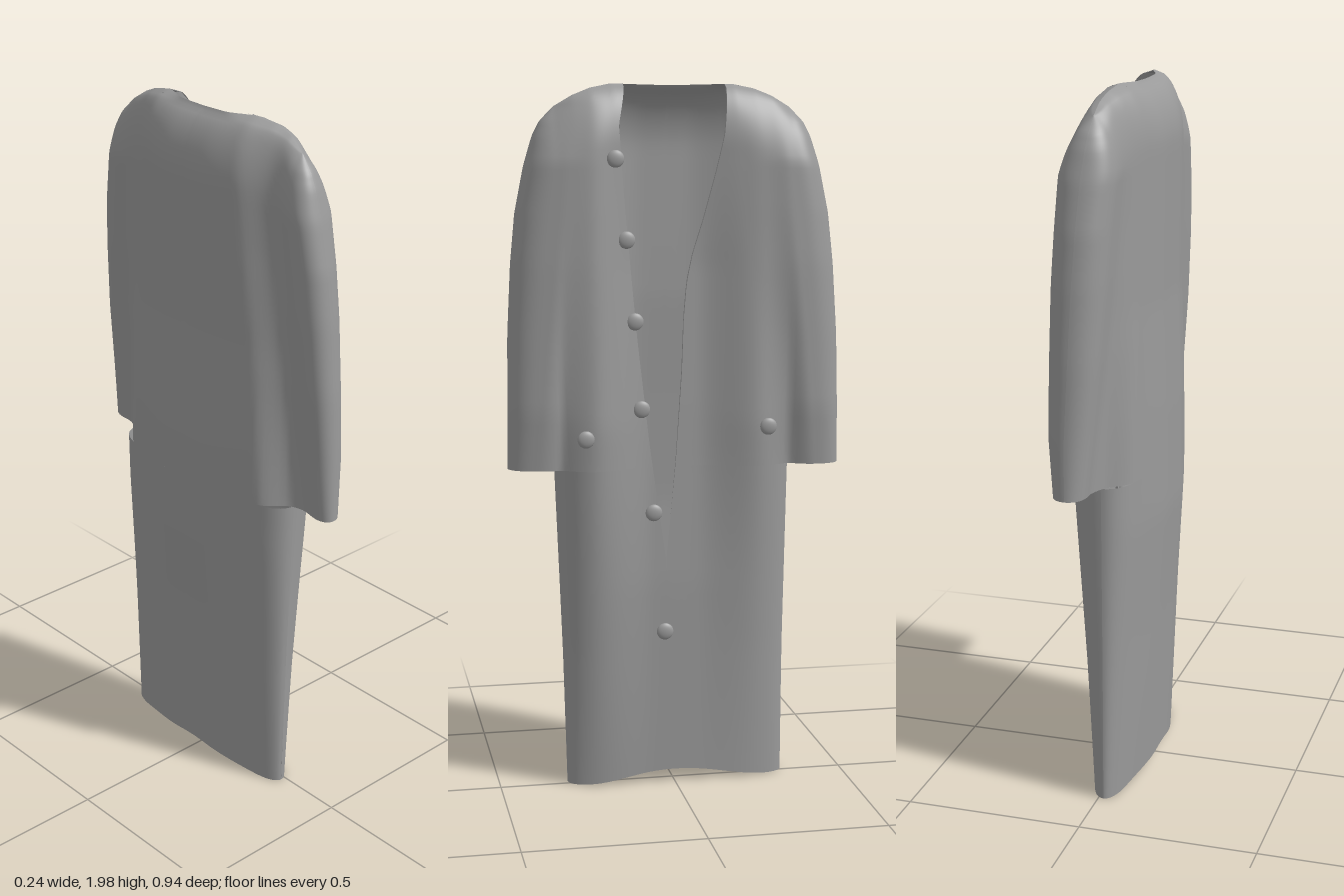
import * as THREE from 'three';

const { lerp, clamp, smoothstep } = THREE.MathUtils;
const material = new THREE.MeshStandardMaterial({ color: 0x9a9a9a, side: THREE.DoubleSide });

// Linear lookup in a short list of [key, value] pairs
function lookup(table, k) {
  if (k <= table[0][0]) return table[0][1];
  for (let i = 1; i < table.length; i++) {
    const [k0, v0] = table[i - 1], [k1, v1] = table[i];
    if (k <= k1) return lerp(v0, v1, (k - k0) / (k1 - k0));
  }
  return table[table.length - 1][1];
}

// Surface grid from a rule point(u, v) -> [x, y, z]
function sheet(name, point, nu, nv, flip) {
  const pos = [], index = [];
  for (let j = 0; j <= nv; j++)
    for (let i = 0; i <= nu; i++) pos.push(...point(i / nu, j / nv));
  for (let j = 0; j < nv; j++)
    for (let i = 0; i < nu; i++) {
      const a = j * (nu + 1) + i, b = a + 1, c = a + nu + 1, d = c + 1;
      if (flip) index.push(a, c, b, b, c, d);
      else index.push(a, b, c, b, d, c);
    }
  const g = new THREE.BufferGeometry();
  g.setAttribute('position', new THREE.Float32BufferAttribute(pos, 3));
  g.setIndex(index);
  g.computeVertexNormals();
  const m = new THREE.Mesh(g, material);
  m.name = name;
  return m;
}

// Outline of the coat, which opens towards +x
const CUFF = 0.935, SHOULDER = 1.93, BODY = 0.335;
const skirtWidth = [[0, 0.305], [0.4, 0.315], [CUFF, BODY]];
const sleeveOuter = [[CUFF, 0.468], [1.3, 0.463], [1.5, 0.452], [1.64, 0.438], [1.77, 0.412],
  [1.85, 0.388], [1.89, 0.368], [SHOULDER, 0.33]];
const sleeveInner = [[CUFF, 0.33], [1.3, 0.3], [1.65, 0.26], [1.93, 0.24]];
const sleeveBack = [[CUFF, -0.012], [1.3, -0.045], [1.5, -0.06], [1.78, -0.077], [1.93, -0.075]];
const sleeveFront = [[CUFF, 0.08], [1.1, 0.094], [1.5, 0.09], [1.78, 0.08], [1.93, 0.055]];
const shoulder = [[0, 1.988], [0.17, 1.992], [0.23, 1.98], [0.28, 1.96], [0.33, SHOULDER]];
const edgeLeft = [[0.66, 0.028], [1, 0.075], [1.3, 0.11], [1.7, 0.148], [1.88, 0.16], [1.99, 0.135]];
const edgeRight = [[0.66, 0.028], [0.95, 0], [1.2, -0.018], [1.35, -0.024], [1.45, -0.033], [1.53, -0.05],
  [1.62, -0.078], [1.75, -0.112], [1.85, -0.135], [1.99, -0.15]];

// Depth of the body in front of and behind its middle plane
const MIDDLE = -0.015;
const backDepth = [[0, 0.075], [0.5, 0.095], [0.8, 0.112], [1.1, 0.108], [1.4, 0.098], [1.8, 0.102], [2, 0.1]];
const frontSide = [[0, 0.068], [0.4, 0.088], [0.8, 0.113], [1.05, 0.127], [1.5, 0.113], [1.8, 0.1], [2, 0.09]];
const frontMid = [[0, 0.055], [0.6, 0.07], [1.1, 0.065], [1.5, 0.055], [1.8, 0.065], [2, 0.08]];

const edgeAt = (s, y) => lookup(s > 0 ? edgeLeft : edgeRight, y);
const skirtAt = (s, y) => lookup(skirtWidth, y) + (s < 0 ? 0.02 * (1 - y / CUFF) : 0);

// x of the cloth; dir is 1 for the front, -1 for the back
function clothX(dir, y, z, upper) {
  const a = Math.abs(z), s = Math.sign(z) || 1;
  const w = upper ? BODY : skirtAt(s, y);
  const power = lerp(3, 6, Math.min(1, y / CUFF));
  const side = Math.sqrt(1 - Math.pow(Math.min(1, a / w), power));
  const out = smoothstep(a, 0.06, 0.25);
  const depth = dir > 0
    ? lerp(lookup(frontMid, y), lookup(frontSide, y) * (1 + 0.05 * s), out)
    : lookup(backDepth, y) * (1 - 0.28 * out);
  if (!upper) return MIDDLE + dir * depth * side;

  // The cloth rounds over the shoulder, but stays open at the back of the neck
  const k = clamp((y - lookup(shoulder, a) + 0.17) / 0.17, 0, 1);
  const neck = dir < 0 ? 0.27 * (1 - smoothstep(a, 0.08, 0.17)) : 0;
  const round = Math.max(neck, Math.sqrt(1 - k * k));
  const body = depth * Math.max(side, 0.45) * round;

  // Flow from the body into the sleeve
  const zi = lookup(sleeveInner, y), zo = lookup(sleeveOuter, y), zm = (zi + zo) / 2;
  const xb = lookup(sleeveBack, y), xf = lookup(sleeveFront, y);
  const q = clamp((a - zm) / (zo - zm), 0, 1);
  const centre = (xb + xf) / 2 + (s > 0 ? -0.25 * (a - 0.35) : 0.01);
  const sleeve = (xf - xb) / 2 * (s > 0 ? 0.86 : 1) * Math.sqrt(1 - Math.pow(q, 2.6)) * round;
  const t = smoothstep(a, zi - 0.07, zi + 0.06);
  return lerp(MIDDLE + dir * body, centre + dir * sleeve, t);
}

const hem = (z, w) => 0.008 + 0.037 * Math.pow(Math.cos(z / w * Math.PI / 2), 2);

// Skirt of the coat, from the hem to cuff height
function skirtPoint(dir, s, u, v) {
  const level = lerp(0.03, CUFF, v), w = skirtAt(s, level);
  const z = lerp(dir > 0 ? edgeAt(s, level) : 0, s * w, Math.sin(u * Math.PI / 2));
  const y = lerp(hem(z, w), CUFF, v);
  return [clothX(dir, y, z, false), y, z];
}

// Chest or back with one sleeve, from cuff height to the shoulder line
function upperPoint(dir, s, u, v) {
  const level = lerp(CUFF, SHOULDER, Math.sin(v * Math.PI / 2)), rise = Math.pow(v, 8);
  const start = dir > 0 ? edgeAt(s, level + 0.058 * rise) : 0;
  const z = lerp(start, s * lookup(sleeveOuter, level), Math.sin(u * Math.PI / 2));
  const y = level + (lookup(shoulder, Math.abs(z)) - SHOULDER) * rise;
  return [clothX(dir, y, z, true), y, z];
}

export function createModel() {
  const coat = new THREE.Group();
  coat.name = 'coat';

  for (const s of [1, -1]) {
    const side = s > 0 ? 'Left' : 'Right';
    for (const dir of [1, -1]) {
      const face = dir > 0 ? 'front' : 'back', flip = s * dir > 0;
      coat.add(sheet(face + 'Skirt' + side, (u, v) => skirtPoint(dir, s, u, v), 28, 24, flip));
      coat.add(sheet(face + 'AndSleeve' + side, (u, v) => upperPoint(dir, s, u, v), 40, 48, flip));
    }

    // Underside of the sleeve, closing the cuff against the body
    coat.add(sheet('cuff' + side, (u, v) => {
      const z = s * lerp(0.27, 0.468, Math.sin(v * Math.PI / 2));
      return [lerp(clothX(-1, CUFF, z, true), clothX(1, CUFF, z, true), u), CUFF, z];
    }, 6, 16, s < 0));

    // Turned-in facing along the open front edge
    coat.add(sheet('facing' + side, (u, v) => {
      const y = lerp(0.67, 1.985, v), z = edgeAt(s, y), open = smoothstep(y, 0.66, 1.2);
      const x = clothX(1, y, z, y > CUFF), a = u * Math.PI / 2;
      return [x - 0.045 * Math.sin(a) * open, y, z + s * 0.02 * (1 - Math.cos(a)) * open];
    }, 5, 40, s < 0));
  }

  // Buttons down the front edge, then one on each pocket: height, z
  const buttons = [[1.79, 0.172], [1.57, 0.141], [1.345, 0.117], [1.1, 0.099], [0.805, 0.064], [0.46, 0.032],
    [1.027, 0.262], [1.048, -0.255]];
  const disc = new THREE.SphereGeometry(0.024, 20, 12).scale(0.4, 1, 1);
  buttons.forEach(([y, z], i) => {
    const b = new THREE.Mesh(disc, material);
    b.name = i < 6 ? 'frontButton' : 'pocketButton';
    b.position.set(clothX(1, y, z, y > CUFF) + 0.006, y, z);
    coat.add(b);
  });
  return coat;
}
